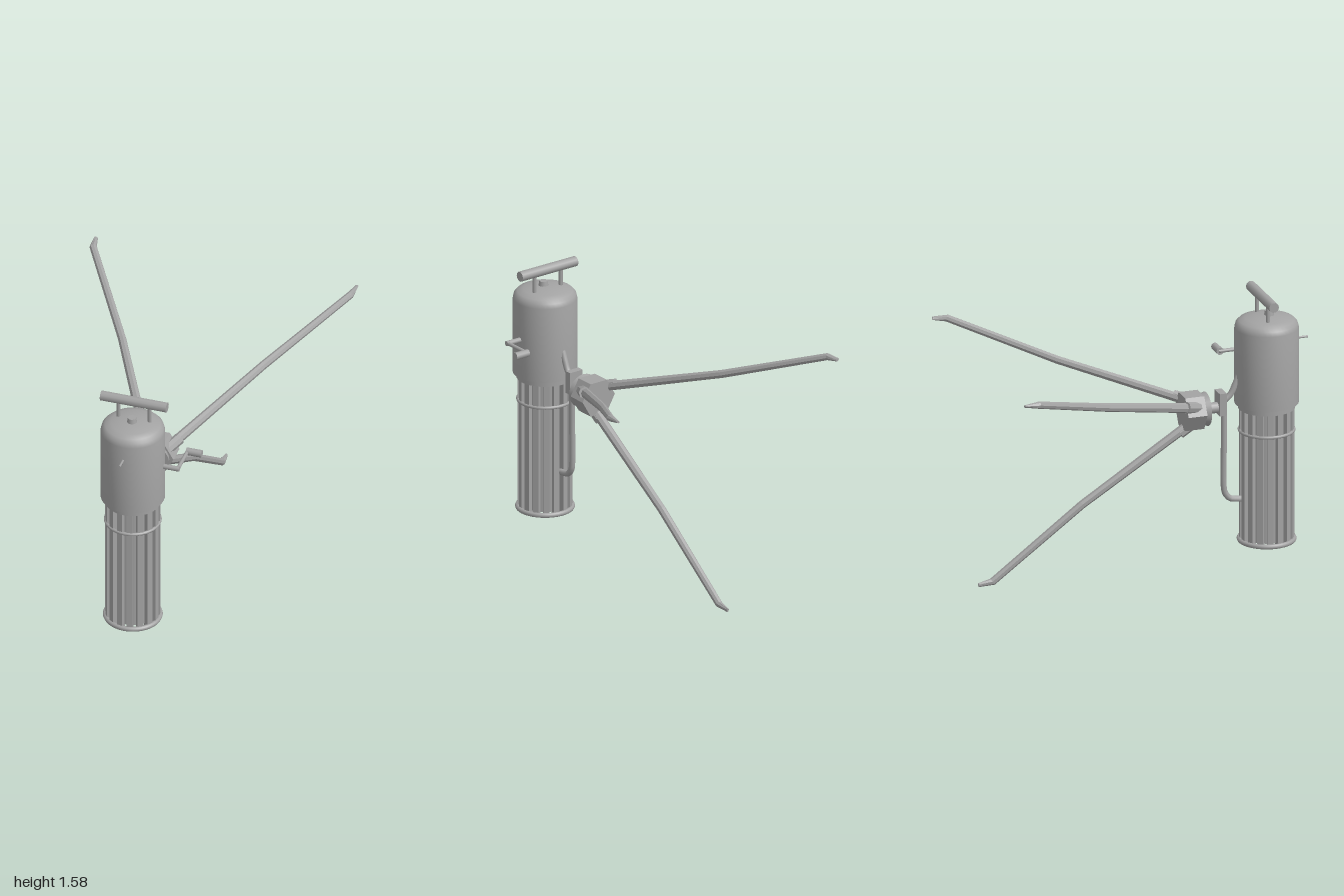
import * as THREE from 'three';
import { toCreasedNormals } from 'three/addons/utils/BufferGeometryUtils.js';

const metal = new THREE.MeshStandardMaterial({ color: 0xa3a3a3 });
metal.name = 'grey metal';

const AXIS_Z = 0.75; // depth of the upright body
const HUB_Y = 0.93; // height of the leg hub

function add(parent, name, geometry, x = 0, y = 0, z = 0) {
  const mesh = new THREE.Mesh(geometry, metal);
  mesh.name = name;
  mesh.position.set(x, y, z);
  parent.add(mesh);
  return mesh;
}

// Cylinder between two points
function rod(parent, name, a, b, r, sides = 12) {
  const from = new THREE.Vector3(...a), to = new THREE.Vector3(...b);
  const dir = to.clone().sub(from);
  const mesh = add(parent, name, new THREE.CylinderGeometry(r, r, dir.length(), sides));
  mesh.position.copy(from).add(to).multiplyScalar(0.5);
  mesh.quaternion.setFromUnitVectors(new THREE.Vector3(0, 1, 0), dir.normalize());
  return mesh;
}

// Faceted beam in the yz plane; stations are [y, z, halfWidth, halfHeight]
function beam(stations, sides = 8) {
  const pos = [];
  const last = stations.length - 1;
  const rings = stations.map(([y, z, w, h], i) => {
    const p = stations[Math.max(i - 1, 0)], n = stations[Math.min(i + 1, last)];
    const t = new THREE.Vector2(n[0] - p[0], n[1] - p[1]).normalize();
    return Array.from({ length: sides }, (_, j) => {
      const a = ((j + 0.5) / sides) * Math.PI * 2;
      const v = h * Math.sin(a);
      return [w * Math.cos(a), y + v * t.y, z - v * t.x];
    });
  });
  const start = [0, stations[0][0], stations[0][1]];
  const end = [0, stations[last][0], stations[last][1]];
  for (let j = 0; j < sides; j++) {
    const k = (j + 1) % sides;
    for (let i = 0; i < last; i++) {
      const a = rings[i][j], b = rings[i][k], c = rings[i + 1][k], d = rings[i + 1][j];
      pos.push(...a, ...b, ...c, ...a, ...c, ...d);
    }
    pos.push(...start, ...rings[0][k], ...rings[0][j]);
    pos.push(...end, ...rings[last][j], ...rings[last][k]);
  }
  const g = new THREE.BufferGeometry();
  g.setAttribute('position', new THREE.Float32BufferAttribute(pos, 3));
  g.computeVertexNormals();
  return g;
}

function tube(points, r) {
  const path = new THREE.CatmullRomCurve3(points.map(([y, z]) => new THREE.Vector3(0, y, z)), false, 'centripetal');
  return new THREE.TubeGeometry(path, 36, r, 10);
}

function ring(parent, name, radius, thick, y) {
  add(parent, name, new THREE.TorusGeometry(radius, thick, 8, 40), 0, y, AXIS_Z).rotation.x = Math.PI / 2;
}

export function createModel() {
  const model = new THREE.Group();
  model.name = 'tripodMachine';

  // Domed upper housing
  const profile = [[0, 0.93], [0.185, 0.93], [0.185, 1.385], [0.178, 1.412], [0.16, 1.43],
    [0.125, 1.443], [0.07, 1.453], [0, 1.457]].map(([x, y]) => new THREE.Vector2(x, y));
  add(model, 'housing', toCreasedNormals(new THREE.LatheGeometry(profile, 40), 0.6), 0, 0, AXIS_Z);
  add(model, 'cap', new THREE.CylinderGeometry(0.024, 0.03, 0.036, 16), 0, 1.465, 0.765);

  // Carrying handle
  const handle = new THREE.Group();
  handle.name = 'handle';
  model.add(handle);
  rod(handle, 'handleGrip', [-0.198, 1.568, 0.725], [0.198, 1.568, 0.725], 0.03, 10);
  for (const s of [-1, 1]) rod(handle, 'handlePost', [s * 0.093, 1.44, 0.725], [s * 0.093, 1.56, 0.725], 0.012);

  // Front pin
  rod(model, 'frontPin', [0, 1.295, 0.92], [0, 1.295, 1.0], 0.007, 8);

  // Side crank
  const crank = new THREE.Group();
  crank.name = 'crank';
  model.add(crank);
  rod(crank, 'crankAxle', [0.17, 1.167, 0.745], [0.278, 1.167, 0.745], 0.015);
  rod(crank, 'crankArm', [0.268, 1.167, 0.755], [0.268, 1.167, 0.555], 0.011);
  rod(crank, 'crankGrip', [0.262, 1.167, 0.562], [0.354, 1.167, 0.562], 0.022);

  // Slatted lower cage
  const cage = new THREE.Group();
  cage.name = 'cage';
  model.add(cage);
  add(cage, 'cageCore', new THREE.CylinderGeometry(0.13, 0.13, 0.82, 32), 0, 0.52, AXIS_Z);
  add(cage, 'cageCollar', new THREE.CylinderGeometry(0.164, 0.164, 0.036, 40), 0, 0.915, AXIS_Z);
  for (let i = 0; i < 16; i++) {
    const a = ((i + 0.5) / 16) * Math.PI * 2;
    const slat = add(cage, 'slat', new THREE.BoxGeometry(0.034, 0.82, 0.035),
      Math.sin(a) * 0.14, 0.5, AXIS_Z + Math.cos(a) * 0.14);
    slat.rotation.y = a;
  }
  ring(cage, 'middleRing', 0.156, 0.01, 0.763);
  ring(cage, 'bottomRing', 0.157, 0.015, 0.1);

  // Rear pipes and mounting plate
  add(model, 'upperPipe', tube([[1.12, 0.585], [1.06, 0.56], [1.0, 0.53], [0.97, 0.495], [0.96, 0.46]], 0.018));
  add(model, 'lowerPipe', tube([[0.97, 0.49], [0.7, 0.49], [0.44, 0.49], [0.405, 0.497],
    [0.37, 0.525], [0.362, 0.55], [0.355, 0.61]], 0.018));
  add(model, 'mountPlate', new THREE.BoxGeometry(0.09, 0.135, 0.042), 0, 0.957, 0.471);
  rod(model, 'neck', [0, HUB_Y, 0.46], [0, HUB_Y, 0.36], 0.032, 16);

  // Six-sided hub with three legs spread evenly around it
  const hub = new THREE.Group();
  hub.name = 'legHub';
  hub.position.y = HUB_Y;
  model.add(hub);
  const block = new THREE.CylinderGeometry(0.115, 0.115, 0.115, 6).toNonIndexed();
  block.computeVertexNormals();
  block.rotateX(Math.PI / 2);
  block.rotateZ(Math.PI / 6);
  add(hub, 'hubBlock', block, 0, 0, 0.293);
  add(hub, 'hubFlange', new THREE.CylinderGeometry(0.09, 0.1, 0.036, 24).rotateX(-Math.PI / 2), 0, 0, 0.366);

  const legShape = beam([[0.07, 0.3, 0.03, 0.028], [0.49, -0.37, 0.025, 0.024],
    [0.893, -0.915, 0.021, 0.022], [0.904, -1.0, 0.007, 0.012]]);
  const sleeveShape = beam([[0.07, 0.315, 0.034, 0.034], [0.128, 0.222, 0.034, 0.034]]);
  for (const angle of [-Math.PI / 3, Math.PI / 3, Math.PI]) {
    const leg = new THREE.Group();
    leg.name = 'leg';
    leg.rotation.z = angle;
    add(leg, 'legBeam', legShape);
    add(leg, 'legSleeve', sleeveShape);
    hub.add(leg);
  }
  return model;
}
